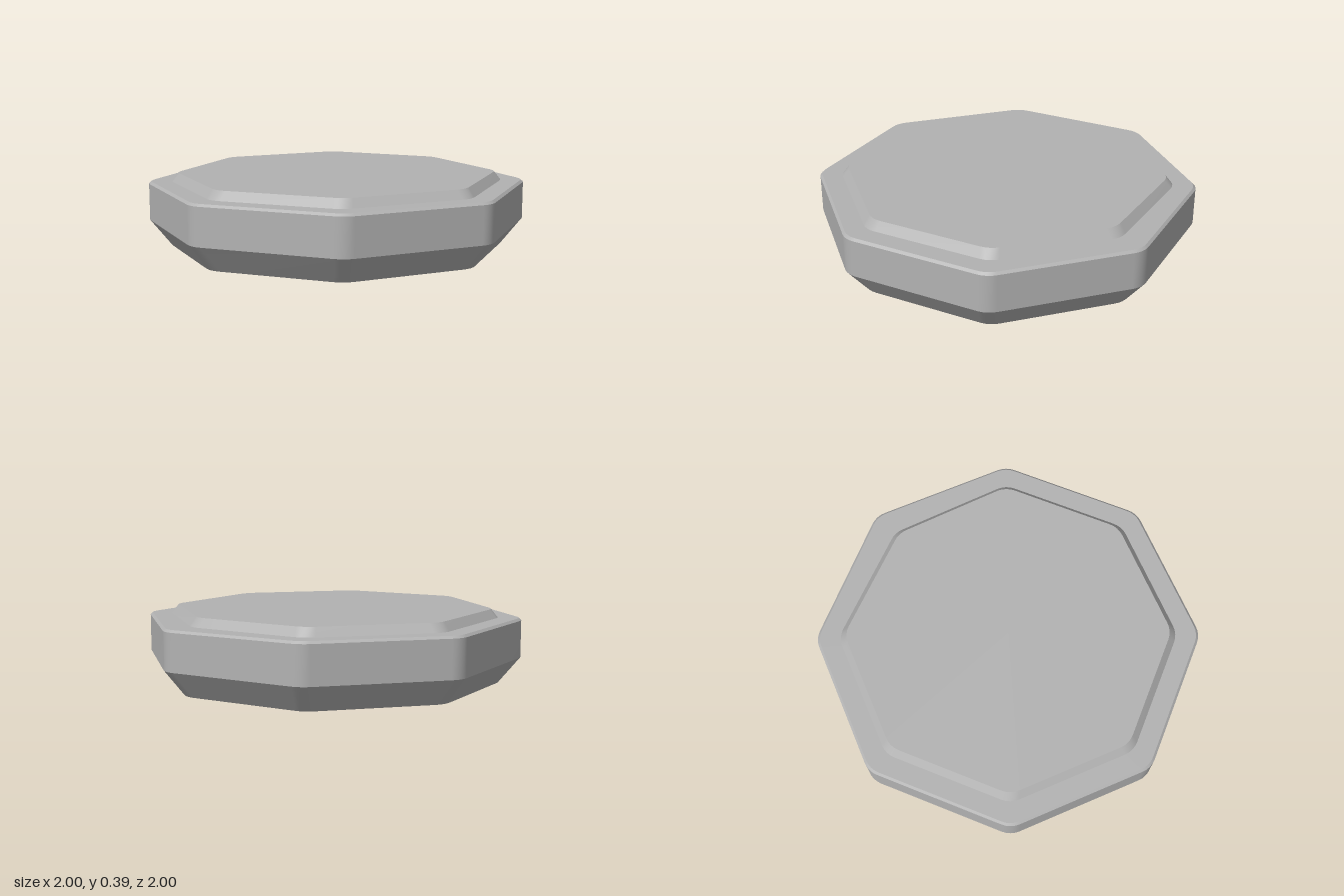
import * as THREE from 'three';
import { mergeGeometries } from 'three/addons/utils/BufferGeometryUtils.js';

const SIDES = 8, STEPS = 4;

// Octagon outline with rounded corners; tip is the reach of each corner.
// pull draws the +x corner slightly inwards.
function ring(tip, y, pull = 0, fillet = 0.12) {
  const half = Math.PI / SIDES, points = [];
  const centre = tip - fillet;
  for (let k = 0; k < SIDES; k++) {
    const a = k * 2 * half;
    for (let s = 0; s <= STEPS; s++) {
      const t = a + half * (2 * s / STEPS - 1);
      const shift = k === 2 ? pull : 0;
      points.push(new THREE.Vector3(
        Math.sin(a) * centre + Math.sin(t) * fillet - shift, y,
        Math.cos(a) * centre + Math.cos(t) * fillet));
    }
  }
  return points;
}

// Closed wall between two rings, smooth around and sharp at its borders.
function band(lower, upper) {
  const n = lower.length, index = [];
  for (let i = 0; i < n; i++) {
    const j = (i + 1) % n;
    index.push(i, j, n + j, i, n + j, n + i);
  }
  const g = new THREE.BufferGeometry().setFromPoints([...lower, ...upper]);
  g.setIndex(index);
  g.computeVertexNormals();
  return g;
}

// Flat lid over a ring.
function cap(points, up) {
  const n = points.length, index = [];
  for (let i = 0; i < n; i++) {
    const j = (i + 1) % n;
    index.push(n, up ? i : j, up ? j : i);
  }
  const g = new THREE.BufferGeometry().setFromPoints([...points, new THREE.Vector3(0, points[0].y, 0)]);
  g.setIndex(index);
  g.computeVertexNormals();
  return g;
}

export function createModel() {
  const model = new THREE.Group();
  model.name = 'octagonalSlab';
  const grey = new THREE.MeshStandardMaterial({ color: 0xb2b2b2 });
  grey.name = 'grey';

  const add = (name, ...parts) => {
    const mesh = new THREE.Mesh(mergeGeometries(parts), grey);
    mesh.name = name;
    model.add(mesh);
  };

  const foot = ring(0.888, 0);
  const wallLow = ring(1, 0.135);
  const wallHigh = ring(1, 0.33);
  const rim = ring(0.987, 0.342);
  const plateFoot = ring(0.878, 0.342, 0.027);
  const plateTop = ring(0.842, 0.387, 0.027);

  // Tapered underside, upright wall, bevelled edge and raised top plate
  add('taperedBase', cap(foot, false), band(foot, wallLow));
  add('sideWall', band(wallLow, wallHigh));
  add('bevelAndLedge', band(wallHigh, rim), band(rim, plateFoot));
  add('raisedPlate', band(plateFoot, plateTop), cap(plateTop, true));
  return model;
}
